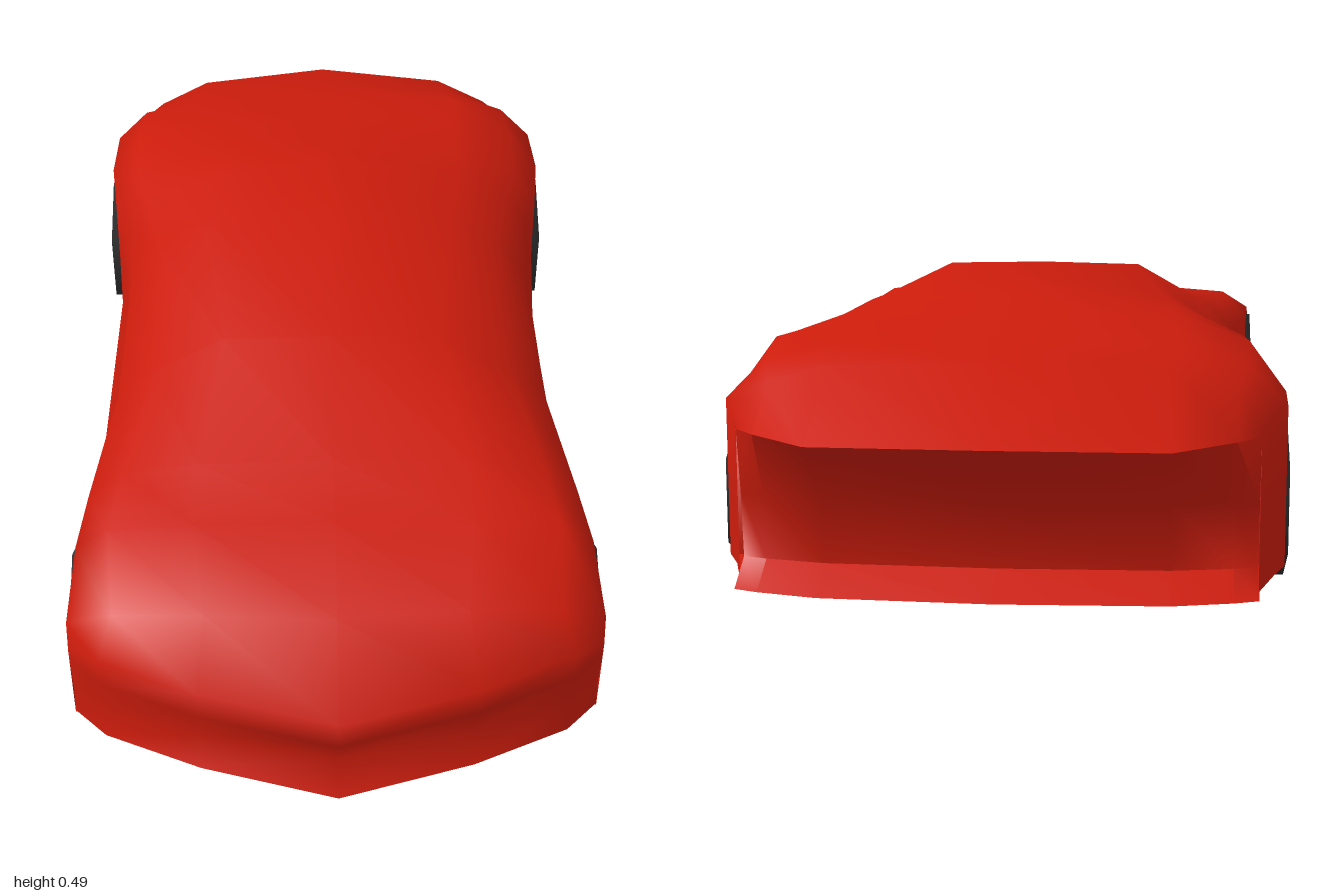
import * as THREE from 'three';
import { mergeGeometries, toCreasedNormals } from 'three/addons/utils/BufferGeometryUtils.js';

// Piecewise-linear plan curves: how far the nose and tail sweep back at a given x
const sweep = (curve, x) => {
  for (let i = 1; i < curve.length; i++) {
    const [x0, v0] = curve[i - 1], [x1, v1] = curve[i];
    if (x <= x1 || i === curve.length - 1) return v0 + (v1 - v0) * (x - x0) / (x1 - x0);
  }
};
const NOSE = [[0, 0], [0.23, 0.067], [0.395, 0.14], [0.455, 0.2]];
const TAIL = [[0, 0], [0.28, 0.045], [0.38, 0.14], [0.42, 0.2]];
const bent = (x, y, z, k) => [x, y, z > 0 ? z - k * sweep(NOSE, x) : z + k * sweep(TAIL, x)];

// Surface through rows of points
function surface(rows, closed, flip) {
  const n = rows[0].length, index = [];
  for (let i = 0; i < rows.length - 1; i++) {
    for (let j = 0; j < (closed ? n : n - 1); j++) {
      const k = (j + 1) % n;
      const a = i * n + j, b = i * n + k, c = a + n, d = b + n;
      index.push(...(flip ? [a, c, b, b, c, d] : [a, b, c, b, d, c]));
    }
  }
  const g = new THREE.BufferGeometry();
  g.setAttribute('position', new THREE.Float32BufferAttribute(rows.flat(2), 3));
  g.setIndex(index);
  return g;
}
const mirror = ([x, y, z]) => [-x, y, z];

// z, sweep, centre y, roof edge x y, shoulder x y, belt x y
const FRONT = [
  [1.0, 1, 0.25, 0.23, 0.252, 0.395, 0.256, 0.452, 0.22],
  [0.84, 0.3, 0.325, 0.22, 0.321, 0.375, 0.303, 0.454, 0.262],
  [0.645, 0, 0.355, 0.24, 0.354, 0.39, 0.343, 0.447, 0.307],
  [0.51, 0, 0.379, 0.24, 0.375, 0.375, 0.352, 0.437, 0.3],
  [0.25, 0, 0.455, 0.2, 0.451, 0.335, 0.375, 0.402, 0.32],
  [-0.15, 0, 0.476, 0.25, 0.446, 0.345, 0.388, 0.402, 0.325],
];
const REAR = [
  [-0.31, 0, 0.485, 0.28, 0.445, 0.38, 0.392, 0.427, 0.315],
  [-0.4, 0, 0.47, 0.28, 0.443, 0.405, 0.398, 0.456, 0.31],
  [-0.535, 0, 0.446, 0.28, 0.437, 0.41, 0.409, 0.472, 0.325],
  [-0.67, 0, 0.422, 0.29, 0.418, 0.402, 0.392, 0.468, 0.325],
  [-0.76, 0.25, 0.407, 0.28, 0.398, 0.385, 0.365, 0.45, 0.318],
  [-1.0, 1, 0.315, 0.28, 0.306, 0.38, 0.304, 0.42, 0.3],
];
const STATIONS = [...FRONT, ...REAR];
// Height of the lower side edge per station; two values step into or out of a wheel arch
const LOWER = [[0.066], [0.066, 0.23], [0.303], [0.23, 0.06], [0.06], [0.058],
  [0.057], [0.057, 0.23], [0.303], [0.23, 0.055], [0.047], [0.047]];

const upper = ([z, k, yc, xe, ye, xs, ys, xb, yb]) =>
  [bent(0, yc, z, k), bent(xe, ye, z, k), bent(xs, ys, z, k), bent(xb, yb, z, k)];

function section(s, low) {
  const top = upper(s), [xb, yb, zb] = top[3];
  const floor = Math.min(low, 0.06);
  // Doors stand in from the sill between the wheels and flare out to it
  const xl = low < 0.1 && Math.abs(zb) < 0.55 ? 0.46 : xb;
  const half = [...top, [xb + (xl - xb) * 0.3, (yb + low) / 2, zb], [xl, low, zb],
    [0.3, low, zb], [0.3, floor, zb], [0, floor, zb]];
  return [...half, ...half.slice(1, -1).reverse().map(mirror)];
}

// Bumper face: starts on the end section's upper edge, then steps down through rows of [z, y, sweep]
function fascia(end, rows, flip) {
  const first = upper(end);
  const halves = [first, ...rows.map(([z, y, k]) => first.map(([x]) => bent(x, y, z, k)))];
  return surface(halves.map(h => [...h.slice(1).reverse().map(mirror), ...h]), false, flip);
}

export function createModel() {
  const car = new THREE.Group();
  car.name = 'car';
  const paint = new THREE.MeshStandardMaterial({ color: 0xcc1c0c, side: THREE.DoubleSide });
  const rubber = new THREE.MeshStandardMaterial({ color: 0x2b2b2b });

  // Body shell with wheel arches, plus nose and tail faces
  const rings = STATIONS.flatMap((s, i) => LOWER[i].map(low => section(s, low)));
  const shell = surface(rings, true, false);
  const nose = fascia(STATIONS[0],
    [[1, 0.2, 1], [0.96, 0.12, 0.85], [0.998, 0.068, 1], [0.82, 0.066, 0.1]], true);
  const tail = fascia(STATIONS[STATIONS.length - 1],
    [[-0.82, 0.19, 0.2], [-0.81, 0.08, 0.2], [-0.89, 0.045, 0.25], [-0.7, 0.045, 0]], false);
  const body = new THREE.Mesh(toCreasedNormals(mergeGeometries([shell, nose, tail]), 1.2), paint);
  body.name = 'body';
  car.add(body);

  // Six-sided wheels, point up, with softened shading
  for (const [name, z, outer] of [['frontWheel', 0.645, 0.454], ['rearWheel', -0.535, 0.474]]) {
    const width = outer - 0.315;
    const g = toCreasedNormals(new THREE.CylinderGeometry(0.145, 0.145, width, 6), 1.65)
      .rotateY(Math.PI / 6).rotateZ(Math.PI / 2);
    for (const side of [1, -1]) {
      const wheel = new THREE.Mesh(g, rubber);
      wheel.name = name + (side > 0 ? 'Left' : 'Right');
      wheel.position.set(side * (0.315 + width / 2), 0.145, z);
      car.add(wheel);
    }
  }
  return car;
}
